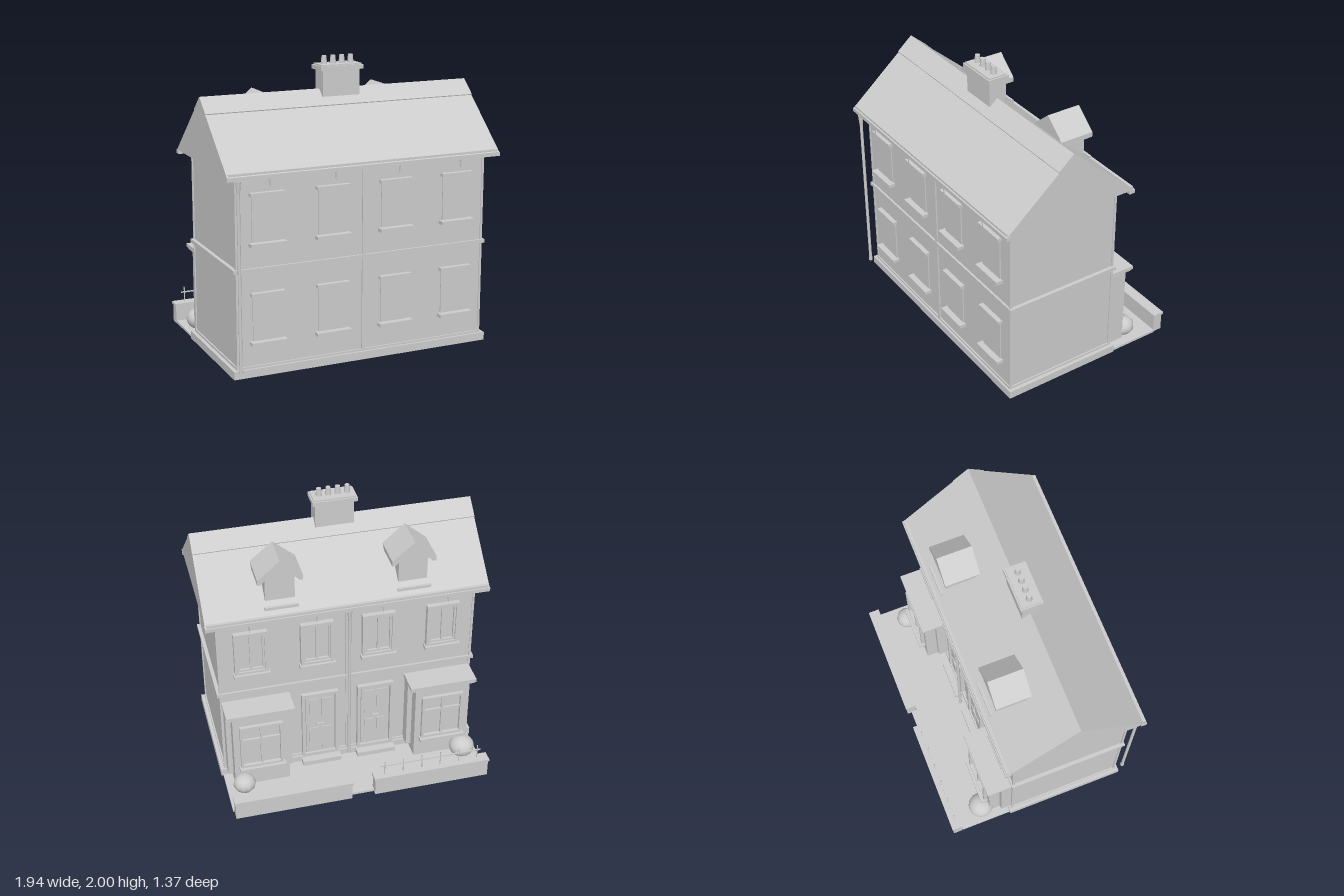
import * as THREE from 'three';

export function createModel() {
  const root = new THREE.Group();
  root.name = 'semiDetachedHouse';
  const grey = new THREE.MeshStandardMaterial({ color: 0xcccccc });
  grey.name = 'plain grey';

  const add = (name, geo, parent = root) => {
    const mesh = new THREE.Mesh(geo, grey);
    mesh.name = name;
    parent.add(mesh);
    return mesh;
  };
  // Box given by its limits on each axis
  const box = (name, x0, x1, y0, y1, z0, z1, parent) => {
    const geo = new THREE.BoxGeometry(x1 - x0, y1 - y0, z1 - z0);
    geo.translate((x0 + x1) / 2, (y0 + y1) / 2, (z0 + z1) / 2);
    return add(name, geo, parent);
  };
  const rod = (name, x, y0, y1, z, rTop, rBottom = rTop, sides = 12, parent = root) => {
    const geo = new THREE.CylinderGeometry(rTop, rBottom, y1 - y0, sides);
    geo.translate(x, (y0 + y1) / 2, z);
    return add(name, geo, parent);
  };
  // Outline extruded by depth along +z
  const extrude = (points, depth) => new THREE.ExtrudeGeometry(
    new THREE.Shape(points.map(([a, b]) => new THREE.Vector2(a, b))),
    { depth, bevelEnabled: false });
  // Outline of (z, y) points extruded along x, centred
  const alongX = (name, points, width) => {
    const geo = extrude(points.map(([z, y]) => [-z, y]), width);
    geo.rotateY(Math.PI / 2);
    geo.translate(-width / 2, 0, 0);
    return add(name, geo);
  };
  // Hollow rectangular frame on the back wall
  const frame = (name, x, y0, y1, half, t, z0, z1, parent) => {
    box(name, x - half, x - half + t, y0, y1, z0, z1, parent);
    box(name, x + half - t, x + half, y0, y1, z0, z1, parent);
    box(name, x - half + t, x + half - t, y1 - t, y1, z0, z1, parent);
    box(name, x - half + t, x + half - t, y0, y0 + t, z0, z1, parent);
  };

  // Foundation, walls and string course
  box('foundation', -0.925, 0.925, 0.01, 0.065, -0.24, 0.625);
  box('walls', -0.89, 0.89, 0.065, 1.36, -0.215, 0.6);
  box('plinth', -0.9, 0.9, 0.065, 0.08, -0.226, 0.61);
  box('stringCourse', -0.915, 0.915, 0.71, 0.735, -0.23, 0.615);
  box('partyWallStrip', -0.012, 0.012, 0.08, 1.34, 0.6, 0.61);
  box('partyWallStrip', -0.012, 0.012, 0.08, 1.34, -0.226, -0.215);
  for (const s of [-1, 1])
    for (const z of [-0.213, 0.598])
      box('cornerStrip', s * 0.89 - 0.008, s * 0.89 + 0.008, 0.08, 1.34, z - 0.008, z + 0.008);

  // Roof and ridge capping
  alongX('roof', [[0.68, 1.35], [0.19, 1.775], [-0.3, 1.35]], 1.94);
  alongX('ridgeCapping', [[0.3, 1.688], [0.19, 1.783], [0.08, 1.688],
    [0.085, 1.675], [0.19, 1.765], [0.295, 1.675]], 1.942);

  // Eaves gutters with hanging brackets
  for (const [z0, z1, zc] of [[0.645, 0.683, 0.667], [-0.305, -0.262, -0.285]]) {
    box('fascia', -0.96, 0.96, 1.335, 1.37, z0 + 0.008, z1 - 0.01);
    box('gutter', -0.972, 0.972, 1.325, 1.352, z0, z1);
    for (const x of [-0.685, -0.23, 0.225, 0.68])
      rod('gutterBracket', x, 1.265, 1.325, zc, 0.008, 0.001, 8);
  }

  // Downpipes
  for (const [x, z, y0] of [[-0.895, 0.667, 0.07], [0, -0.28, 0.07]]) {
    rod('downpipe', x, y0, 1.33, z, 0.011);
    rod('pipeHopper', x, 1.24, 1.32, z, 0.018, 0.011);
    rod('pipeShoe', x, y0, y0 + 0.02, z, 0.014);
  }

  // Front windows: shallow panels between lintels and sills
  for (const x of [-0.685, -0.228, 0.226, 0.683])
    for (const y of [0, 0.655]) {
      const g = new THREE.Group();
      g.name = 'frontWindow';
      root.add(g);
      box('panel', x - 0.1, x + 0.1, y + 0.248, y + 0.55, 0.595, 0.608, g);
      box('lintel', x - 0.115, x + 0.115, y + 0.55, y + 0.572, 0.59, 0.633, g);
      box('sill', x - 0.122, x + 0.122, y + 0.224, y + 0.248, 0.59, 0.65, g);
    }

  // Back upper windows
  for (const x of [-0.67, -0.215, 0.215, 0.67]) {
    const g = new THREE.Group();
    g.name = 'backWindow';
    root.add(g);
    box('pane', x - 0.09, x + 0.09, 0.9, 1.21, -0.222, -0.21, g);
    frame('surround', x, 0.89, 1.225, 0.115, 0.022, -0.25, -0.21, g);
    frame('sash', x, 0.912, 1.203, 0.093, 0.014, -0.238, -0.21, g);
    box('mullion', x - 0.008, x + 0.008, 0.92, 1.2, -0.236, -0.21, g);
    box('sill', x - 0.125, x + 0.125, 0.872, 0.895, -0.268, -0.21, g);
  }

  for (const s of [-1, 1]) {
    // Front doors
    const door = new THREE.Group();
    door.name = 'doorway';
    root.add(door);
    const dx = s * 0.2;
    frame('doorFrame', dx, 0.065, 0.62, 0.13, 0.022, -0.245, -0.21, door);
    box('doorLeaf', dx - 0.1, dx + 0.1, 0.075, 0.6, -0.23, -0.21, door);
    for (const px of [-0.045, 0.045]) {
      box('doorPanel', dx + px - 0.032, dx + px + 0.032, 0.37, 0.57, -0.236, -0.22, door);
      box('doorPanel', dx + px - 0.032, dx + px + 0.032, 0.11, 0.31, -0.236, -0.22, door);
    }
    box('letterPlate', dx - 0.025, dx + 0.025, 0.335, 0.348, -0.242, -0.22, door);
    box('doorStep', dx - 0.14, dx + 0.14, 0.015, 0.055, -0.295, -0.23, door);

    // Bay windows under flat canopies
    const bay = new THREE.Group();
    bay.name = 'bayWindow';
    root.add(bay);
    const bx = s * 0.65;
    box('bayWalls', bx - 0.195, bx + 0.195, 0.02, 0.62, -0.375, -0.21, bay);
    for (const e of [-1, 1])
      box('bayPilaster', bx + e * 0.212 - 0.018, bx + e * 0.212 + 0.018, 0.065, 0.62, -0.295, -0.21, bay);
    box('canopyMoulding', bx - 0.228, bx + 0.228, 0.615, 0.632, -0.39, -0.21, bay);
    box('canopy', bx - 0.238, bx + 0.238, 0.63, 0.655, -0.4, -0.21, bay);
    frame('bayFrame', bx, 0.19, 0.55, 0.15, 0.02, -0.4, -0.37, bay);
    box('mullion', bx - 0.008, bx + 0.008, 0.2, 0.54, -0.39, -0.37, bay);
    box('transom', bx - 0.14, bx + 0.14, 0.42, 0.435, -0.39, -0.37, bay);
    box('baySill', bx - 0.162, bx + 0.162, 0.168, 0.193, -0.423, -0.37, bay);

    // Dormers: gabled roof over a narrow body
    const dormer = new THREE.Group();
    dormer.name = 'dormer';
    root.add(dormer);
    const cx = s * 0.453;
    box('dormerBody', cx - 0.1, cx + 0.1, 1.44, 1.63, -0.205, 0.01, dormer);
    const gable = extrude([[-0.152, 1.585], [-0.13, 1.585], [-0.1, 1.615], [0.1, 1.615],
      [0.13, 1.585], [0.152, 1.585], [0.152, 1.62], [0, 1.75], [-0.152, 1.62]], 0.245);
    gable.translate(cx, 0, -0.23);
    add('dormerRoof', gable, dormer);
    box('dormerSill', cx - 0.115, cx + 0.115, 1.395, 1.415, -0.256, -0.238, dormer);
  }

  // Chimney with four tapered pots
  box('chimneyStack', -0.135, 0.132, 1.735, 1.91, 0.133, 0.25);
  box('chimneyCap', -0.155, 0.152, 1.908, 1.937, 0.113, 0.267);
  box('chimneyCapTop', -0.145, 0.142, 1.937, 1.946, 0.123, 0.257);
  for (const x of [-0.1, -0.035, 0.029, 0.093])
    rod('chimneyPot', x, 1.94, 2, 0.19, 0.016, 0.022, 16);

  // Yard slab, garden walls and railing
  box('yard', -0.91, 0.91, 0.003, 0.02, -0.61, -0.2);
  box('gateStep', -0.085, 0.078, 0.003, 0.02, -0.65, -0.6);
  for (const [x0, x1] of [[-0.91, -0.085], [0.078, 0.9]]) {
    box('gardenWall', x0, x1, 0, 0.13, -0.68, -0.614);
    box('gardenWallCoping', x0 - 0.006, x1 + 0.006, 0.128, 0.147, -0.688, -0.608);
  }
  for (let i = 0; i < 6; i++)
    rod('railingPost', -0.16 - i * 0.135, 0.14, 0.26, -0.645, 0.004, 0.004, 8);
  box('railingBar', -0.86, -0.135, 0.215, 0.223, -0.649, -0.641);

  // Shrubs
  for (const [x, y, z, r, w, h] of [[-0.8, 0.08, -0.425, 0.09, 20, 14], [0.79, 0.073, -0.42, 0.08, 10, 8]]) {
    const geo = new THREE.SphereGeometry(r, w, h);
    geo.scale(1, 0.85, 1);
    geo.translate(x, y + 0.003, z);
    add('shrub', geo);
  }
  return root;
}
